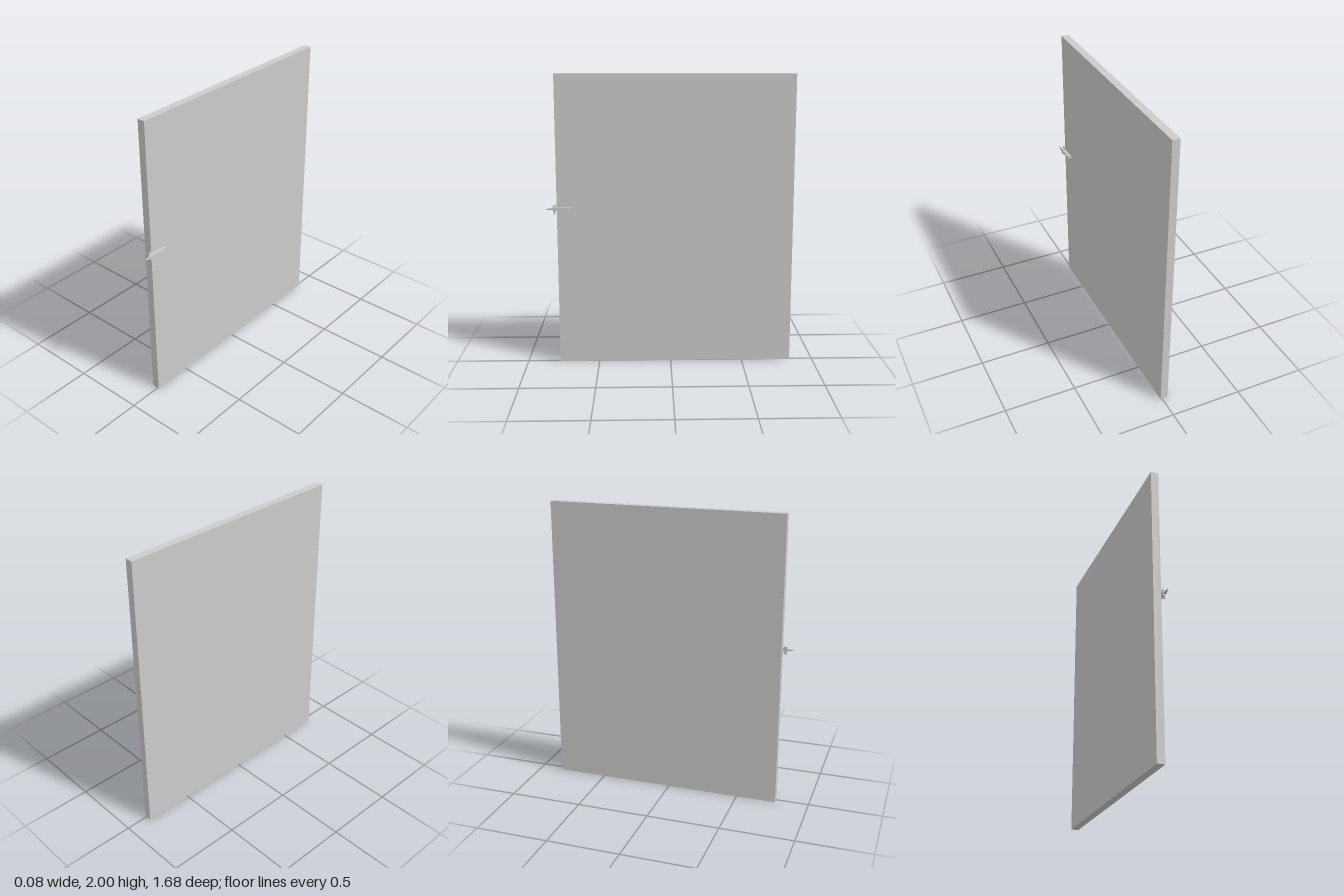
import * as THREE from 'three';

export function createModel() {
  const group = new THREE.Group();
  const material = new THREE.MeshStandardMaterial({ color: 0xcccccc });
  const add = (name, geometry, x, y, z, parent = group) => {
    const mesh = new THREE.Mesh(geometry, material);
    mesh.name = name;
    mesh.position.set(x, y, z);
    parent.add(mesh);
    return mesh;
  };
  const box = (w, h, d) => new THREE.BoxGeometry(w, h, d);

  // Flat door slab
  add('doorPanel', box(0.052, 2, 1.615), -0.014, 1, -0.033);

  // Small latch on the left face, close to the front edge
  const latch = new THREE.Group();
  latch.name = 'latch';
  group.add(latch);
  add('backStrap', box(0.006, 0.02, 0.14), 0.015, 1.096, 0.727, latch);
  add('mountingPlate', box(0.006, 0.045, 0.022), 0.015, 1.096, 0.789, latch);

  // Slotted lever arm, outlined along z and y
  const arm = new THREE.Shape();
  arm.moveTo(0.668, 1.084);
  arm.lineTo(0.8, 1.086);
  arm.lineTo(0.81, 1.09);
  arm.lineTo(0.81, 1.101);
  arm.lineTo(0.8, 1.106);
  arm.lineTo(0.668, 1.107);
  const slot = new THREE.Path();
  slot.moveTo(0.682, 1.092);
  slot.lineTo(0.682, 1.099);
  slot.lineTo(0.708, 1.099);
  slot.lineTo(0.708, 1.092);
  arm.holes.push(slot);
  const lever = new THREE.ExtrudeGeometry(arm, { depth: 0.016, bevelEnabled: false });
  lever.rotateY(-Math.PI / 2);
  add('leverArm', lever, 0.036, 0, 0, latch);

  // Pin beyond the door edge, pivot and hanging catch
  const pin = new THREE.CylinderGeometry(0.006, 0.006, 0.04, 12);
  pin.rotateX(Math.PI / 2);
  add('pin', pin, 0.028, 1.095, 0.82, latch);
  const pivot = new THREE.CylinderGeometry(0.007, 0.007, 0.018, 12);
  pivot.rotateZ(Math.PI / 2);
  add('pivot', pivot, 0.021, 1.096, 0.789, latch);
  add('catch', box(0.008, 0.03, 0.014), 0.027, 1.073, 0.789, latch);

  return group;
}
